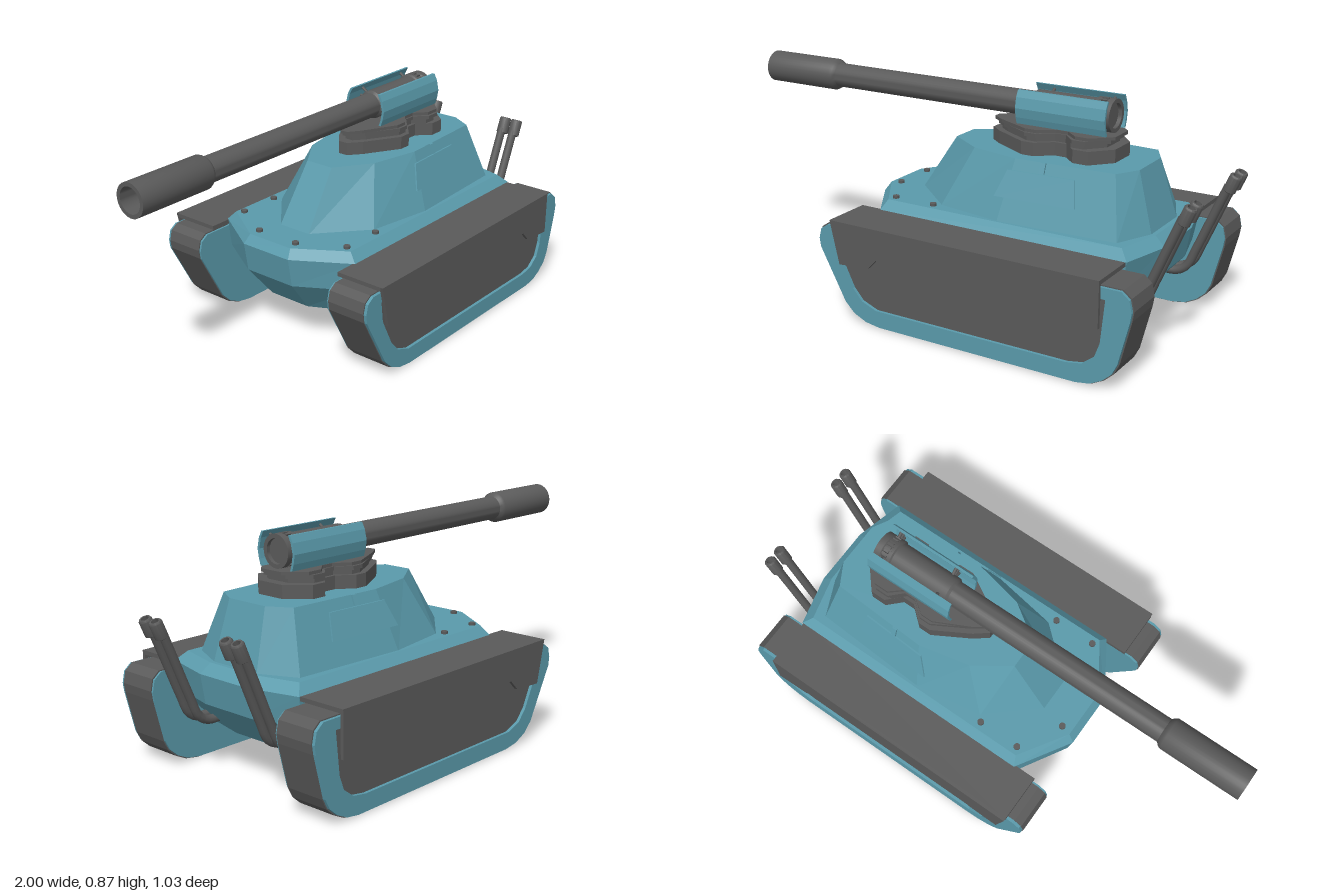
import * as THREE from 'three';
import { toCreasedNormals } from 'three/addons/utils/BufferGeometryUtils.js';

const teal = new THREE.MeshStandardMaterial({ color: 0x5a9aab });
const dark = new THREE.MeshStandardMaterial({ color: 0x5a5a5a });

const shapeOf = (pts) => new THREE.Shape(pts.map(([x, y]) => new THREE.Vector2(x, y)));

// Polygon in x/y, extruded from z0 to z1
function slab(pts, z0, z1, hole) {
  const shape = shapeOf(pts);
  if (hole) shape.holes.push(shapeOf(hole));
  const g = new THREE.ExtrudeGeometry(shape, { depth: Math.abs(z1 - z0), bevelEnabled: false });
  return g.translate(0, 0, Math.min(z0, z1));
}

// Closed skin through rings {y, half}; half lists [x, z] on the +z side, front to rear
function loft(rings) {
  const loops = rings.map(({ y, half }) =>
    [...half, ...half.map(([x, z]) => [x, -z]).reverse()].map(([x, z]) => [x, y, z]));
  const n = loops[0].length, pos = [];
  for (let r = 0; r + 1 < loops.length; r++) {
    for (let i = 0; i < n; i++) {
      const j = (i + 1) % n, a = loops[r], b = loops[r + 1];
      pos.push(...a[i], ...a[j], ...b[j], ...a[i], ...b[j], ...b[i]);
    }
  }
  const lo = loops[0], hi = loops[loops.length - 1];
  for (let i = 1; i + 1 < n; i++) pos.push(...hi[0], ...hi[i], ...hi[i + 1], ...lo[0], ...lo[i + 1], ...lo[i]);
  const g = new THREE.BufferGeometry();
  g.setAttribute('position', new THREE.Float32BufferAttribute(pos, 3));
  g.computeVertexNormals();
  return g;
}

export function createModel() {
  const model = new THREE.Group();
  model.name = 'tank';
  const add = (name, geo, mat, parent = model) => {
    const m = new THREE.Mesh(geo, mat);
    m.name = name;
    parent.add(m);
    return m;
  };

  // Hull and sloped casemate
  add('hull', loft([
    { y: 0.15, half: [[-0.24, 0.09], [-0.15, 0.265], [0.66, 0.265], [0.7, 0.1]] },
    { y: 0.285, half: [[-0.35, 0.11], [-0.23, 0.312], [0.77, 0.312], [0.82, 0.12]] },
    { y: 0.4, half: [[-0.37, 0.11], [-0.24, 0.32], [0.79, 0.32], [0.84, 0.12]] },
    { y: 0.435, half: [[-0.345, 0.1], [-0.225, 0.287], [0.755, 0.287], [0.8, 0.11]] },
  ]), teal);
  add('casemate', loft([
    { y: 0.43, half: [[-0.21, 0.07], [-0.02, 0.235], [0.25, 0.28], [0.72, 0.255], [0.785, 0.11]] },
    { y: 0.655, half: [[-0.06, 0.06], [0.08, 0.155], [0.28, 0.198], [0.67, 0.178], [0.72, 0.09]] },
  ]), teal);

  // Deck bolts
  for (const [x, z] of [[-0.21, 0.257], [-0.04, 0.257], [-0.305, 0.09]]) {
    for (const s of [1, -1]) {
      add('deckBolt', new THREE.CylinderGeometry(0.013, 0.013, 0.014, 10).translate(x, 0.438, s * z), dark);
    }
  }

  // Raised panels laid on the sloped casemate sides
  const onSide = (pts, depth, s) => {
    const g = slab(pts, 0, s * depth);
    const p = g.attributes.position;
    for (let i = 0; i < p.count; i++) {
      const face = 0.28 - 0.053 * (p.getX(i) - 0.25) - 0.364 * (p.getY(i) - 0.435);
      p.setZ(i, p.getZ(i) + s * face);
    }
    g.computeVertexNormals();
    return g;
  };
  for (const s of [1, -1]) {
    add('sideHatch', onSide([[0.225, 0.52], [0.545, 0.52], [0.525, 0.615], [0.26, 0.615]], 0.006, s), teal);
    add('hatchLatch', onSide([[0.385, 0.618], [0.405, 0.618], [0.405, 0.655], [0.385, 0.655]], 0.007, s), teal);
  }

  // Tracks, fenders and side skirts
  const outline = [[-0.4, 0.315], [-0.39, 0.355], [-0.36, 0.375], [0.86, 0.375], [0.89, 0.35], [0.9, 0.305],
    [0.895, 0.27], [0.855, 0.105], [0.835, 0.065], [0.8, 0.033], [0.755, 0.01], [0.7, 0.001], [-0.13, 0.001],
    [-0.19, 0.01], [-0.245, 0.035], [-0.285, 0.075], [-0.395, 0.28]];
  const inset = (d) => outline.map(([x, y]) => [
    0.25 + (x - 0.25) * (1 - d / 0.65), 0.188 + (y - 0.188) * (1 - d / 0.187)]);
  const recess = [[-0.31, 0.33], [-0.3, 0.25], [-0.245, 0.14], [-0.205, 0.095], [-0.14, 0.07], [0.66, 0.07],
    [0.72, 0.08], [0.765, 0.115], [0.785, 0.17], [0.8, 0.33]];
  const skirt = [[-0.33, 0.4], [0.785, 0.4], [0.785, 0.228], [0.65, 0.24], [0.61, 0.28], [-0.12, 0.28],
    [-0.16, 0.24], [-0.29, 0.232]];
  for (const s of [1, -1]) {
    const side = new THREE.Group();
    side.name = s > 0 ? 'leftTrack' : 'rightTrack';
    model.add(side);
    add('trackBand', slab(outline, s * 0.326, s * 0.484), dark, side);
    add('innerTrackWall', slab(inset(0.004), s * 0.318, s * 0.326), teal, side);
    add('outerTrackFrame', slab(inset(0.004), s * 0.484, s * 0.496, recess), teal, side);
    add('fender', slab([[-0.33, 0.384], [0.785, 0.384], [0.785, 0.4], [-0.33, 0.4]], s * 0.312, s * 0.505), dark, side);
    add('sideSkirt', slab(skirt, s * 0.502, s * 0.515), dark, side);
  }

  // Gun mount: stacked plates with a waisted plan
  const plan = [[0.08, 0.02], [0.13, 0.06], [0.27, 0.14], [0.32, 0.14], [0.38, 0.09], [0.43, 0.09], [0.48, 0.14],
    [0.54, 0.14], [0.61, 0.06]];
  const full = [...plan, ...plan.map(([x, z]) => [x, -z]).reverse()];
  for (const [name, k, y0, y1] of [['mountBase', 1, 0.65, 0.705], ['mountNeck', 0.86, 0.705, 0.722],
    ['mountCollar', 0.92, 0.722, 0.736], ['mountTop', 0.85, 0.736, 0.748]]) {
    const kx = name === 'mountTop' ? 0.98 : k;
    const pts = full.map(([x, z]) => [0.345 + (x - 0.345) * kx, z * k]);
    add(name, slab(pts, 0, y1 - y0).rotateX(-Math.PI / 2).translate(0, y0, 0), dark);
  }

  // Gun barrel turned along x, with hollow muzzle and recessed breech
  const profile = [[0, -0.565], [0.046, -0.565], [0.046, -0.58], [0.062, -0.58], [0.062, -0.555], [0.056, -0.55],
    [0.056, -0.53], [0.062, -0.525], [0.062, -0.51], [0.056, -0.505], [0.056, -0.26], [0.048, -0.25],
    [0.048, 0.66], [0.058, 0.67], [0.063, 0.68], [0.063, 1], [0.048, 1], [0.048, 0.8], [0, 0.8]];
  const barrel = new THREE.LatheGeometry(profile.map(([r, t]) => new THREE.Vector2(r, t)), 32);
  add('gunBarrel', toCreasedNormals(barrel.rotateZ(Math.PI / 2), 0.5).translate(0, 0.811, 0), dark);
  for (let i = 0; i < 20; i++) {
    const a = i * Math.PI / 10;
    add('breechLug', new THREE.BoxGeometry(0.03, 0.009, 0.009).rotateX(a)
      .translate(0.535, 0.811 + 0.058 * Math.sin(-a), 0.058 * Math.cos(a)), dark);
  }

  // Curved gun shields held by radial struts
  const shieldSection = [[0.072, 0.875], [0.085, 0.85], [0.094, 0.81], [0.088, 0.775], [0.08, 0.75]];
  const section = [...shieldSection, ...shieldSection.map(([z, y]) => [z - 0.01, y]).reverse()];
  for (const s of [1, -1]) {
    const shield = slab(section.map(([z, y]) => [-s * z, y]), 0.215, 0.58).rotateY(Math.PI / 2);
    add('gunShield', shield, teal);
    for (const x of [0.29, 0.54]) {
      for (const a of [-0.6, -0.2, 0.2, 0.6]) {
        const strut = new THREE.CylinderGeometry(0.006, 0.006, 0.04, 6).translate(0, 0.07, 0)
          .rotateX(s * (Math.PI / 2 - a));
        add('shieldStrut', strut.translate(x, 0.811, 0), dark);
      }
    }
  }

  // Exhaust pipes in pairs at the rear
  const path = new THREE.CatmullRomCurve3([[0.68, 0.2], [0.765, 0.2], [0.805, 0.225], [0.84, 0.3], [0.9, 0.445],
    [0.95, 0.565]].map(([x, y]) => new THREE.Vector3(x, y, 0)));
  const tip = new THREE.LatheGeometry([[0.017, -0.035], [0.024, -0.03], [0.024, 0.03], [0.02, 0.036], [0.014, 0.036],
    [0.014, 0], [0, 0]].map(([r, t]) => new THREE.Vector2(r, t)), 12);
  for (const z of [0.18, 0.235, -0.18, -0.235]) {
    add('exhaustPipe', new THREE.TubeGeometry(path, 24, 0.017, 10).translate(0, 0, z), dark);
    const cap = add('exhaustTip', toCreasedNormals(tip, 0.6), dark);
    cap.position.set(0.963, 0.573, z);
    cap.rotation.z = -0.4;
  }
  return model;
}
